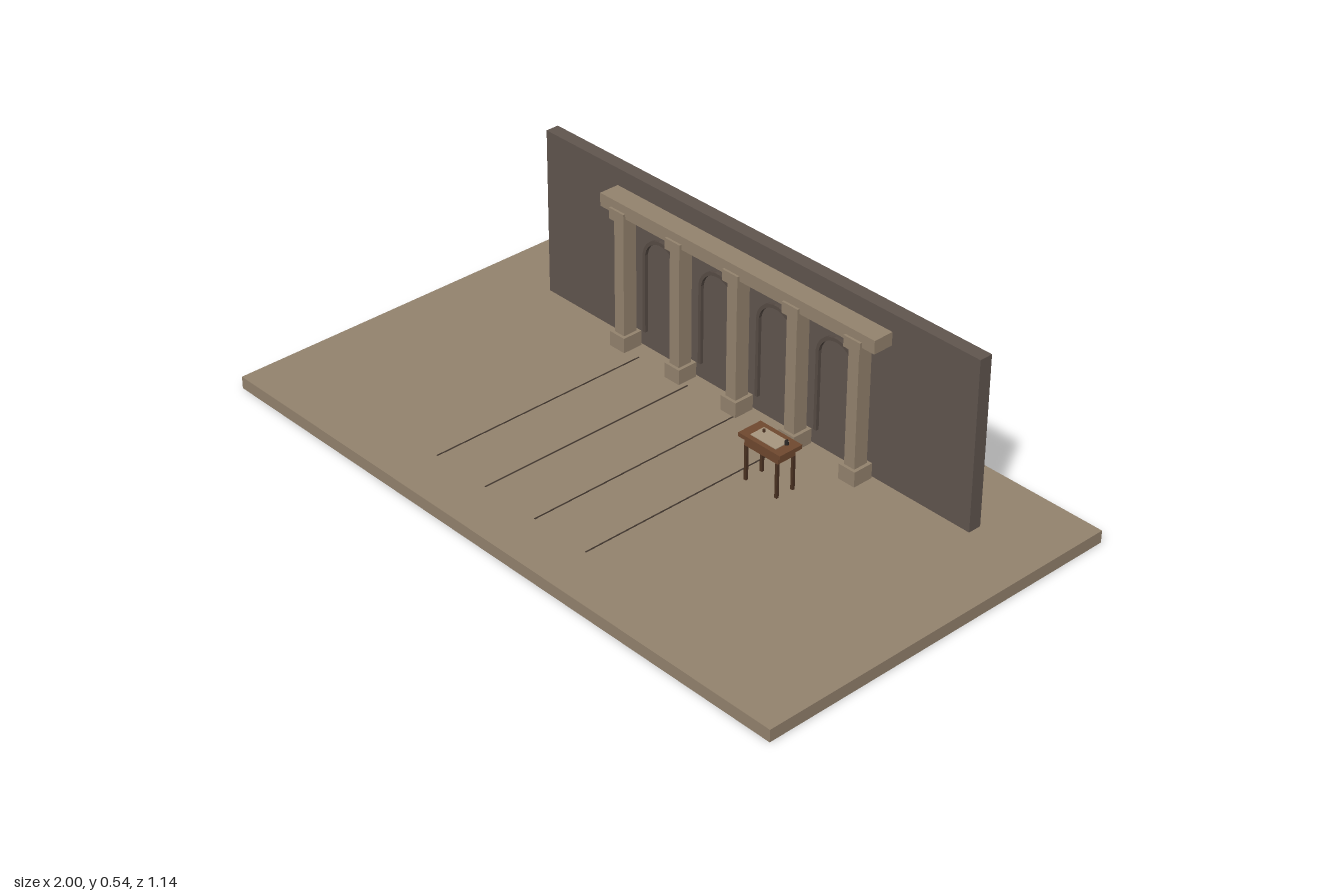
import * as THREE from 'three';

const mat = (name, color) => {
  const m = new THREE.MeshStandardMaterial({ color });
  m.name = name;
  return m;
};

export function createModel() {
  const stone = mat('sandstone', 0x94836e);
  const wallMat = mat('dark wall', 0x61564f);
  const trim = mat('arch trim', 0x574c45);
  const groove = mat('floor line', 0x3f352d);
  const wood = mat('table wood', 0x70492f);
  const darkWood = mat('dark wood', 0x4b3222);
  const paperMat = mat('paper', 0xa8977f);
  const ink = mat('ink', 0x2b2624);

  const root = new THREE.Group();
  root.name = 'colonnade';
  const F = 0.036; // floor level

  // Box given by its extents on each axis
  const box = (parent, name, m, [x0, x1], [y0, y1], [z0, z1]) => {
    const mesh = new THREE.Mesh(new THREE.BoxGeometry(x1 - x0, y1 - y0, z1 - z0), m);
    mesh.position.set((x0 + x1) / 2, (y0 + y1) / 2, (z0 + z1) / 2);
    mesh.name = name;
    parent.add(mesh);
    return mesh;
  };
  const group = (name, x = 0, y = 0, z = 0) => {
    const g = new THREE.Group();
    g.name = name;
    g.position.set(x, y, z);
    root.add(g);
    return g;
  };

  // Floor slab and back wall
  box(root, 'floor', stone, [-1, 1], [0, F], [-0.57, 0.57]);
  box(root, 'backWall', wallMat, [-0.785, 0.785], [F, 0.536], [-0.363, -0.323]);

  // Beam and five square columns
  box(root, 'beam', stone, [-0.5, 0.5], [0.446, 0.485], [-0.323, -0.261]);
  for (let i = -2; i <= 2; i++) {
    const col = group('column', i * 0.215);
    box(col, 'base', stone, [-0.028, 0.028], [F, 0.081], [-0.317, -0.254]);
    box(col, 'shaft', stone, [-0.018, 0.018], [0.081, 0.428], [-0.308, -0.263]);
    box(col, 'capital', stone, [-0.028, 0.028], [0.428, 0.461], [-0.317, -0.254]);
  }

  // Four blind arches: two jambs and a ring of small blocks
  const R = 0.065, spring = 0.317, blocks = 13;
  for (const i of [-1.5, -0.5, 0.5, 1.5]) {
    const arch = group('arch', i * 0.215);
    for (const s of [-1, 1]) {
      box(arch, 'jamb', trim, [s * R - 0.005, s * R + 0.005], [0.085, spring], [-0.323, -0.313]);
    }
    for (let k = 0; k < blocks; k++) {
      const a = (k / (blocks - 1)) * Math.PI;
      const b = box(arch, 'archBlock', trim, [-0.005, 0.005], [-0.009, 0.009], [-0.323, -0.313]);
      b.position.x = Math.cos(a) * R;
      b.position.y = spring + Math.sin(a) * R;
      b.rotation.z = a;
    }
  }

  // Thin lines across the floor
  for (let i = 0; i < 4; i++) {
    const x = -0.36 + i * 0.19;
    box(root, 'floorLine', groove, [x - 0.002, x + 0.002], [F - 0.001, F + 0.001], [-0.27, 0.425]);
  }

  // Writing table
  const table = group('table', 0.303, 0, -0.108);
  box(table, 'tableTop', wood, [-0.074, 0.074], [0.162, 0.174], [-0.039, 0.039]);
  box(table, 'apron', wood, [-0.06, 0.06], [0.139, 0.162], [-0.031, 0.031]);
  for (const sx of [-1, 1]) for (const sz of [-1, 1]) {
    const x = sx * 0.055, z = sz * 0.028;
    box(table, 'leg', darkWood, [x - 0.004, x + 0.004], [F, 0.139], [z - 0.004, z + 0.004]);
  }

  // Paper, inkwell and pen on the table
  box(table, 'paper', paperMat, [-0.045, 0.045], [0.174, 0.176], [-0.023, 0.025]);
  const well = new THREE.Mesh(new THREE.CylinderGeometry(0.005, 0.006, 0.011, 12), ink);
  well.name = 'inkwell';
  well.position.set(0.047, 0.18, -0.011);
  table.add(well);
  const pen = new THREE.Mesh(new THREE.CylinderGeometry(0.0012, 0.0012, 0.014, 6), ink);
  pen.name = 'pen';
  pen.position.set(0.048, 0.185, -0.011);
  pen.rotation.z = -0.4;
  table.add(pen);
  const seal = new THREE.Mesh(new THREE.CylinderGeometry(0.004, 0.004, 0.008, 12), darkWood);
  seal.name = 'seal';
  seal.position.set(-0.03, 0.179, -0.008);
  table.add(seal);

  return root;
}
